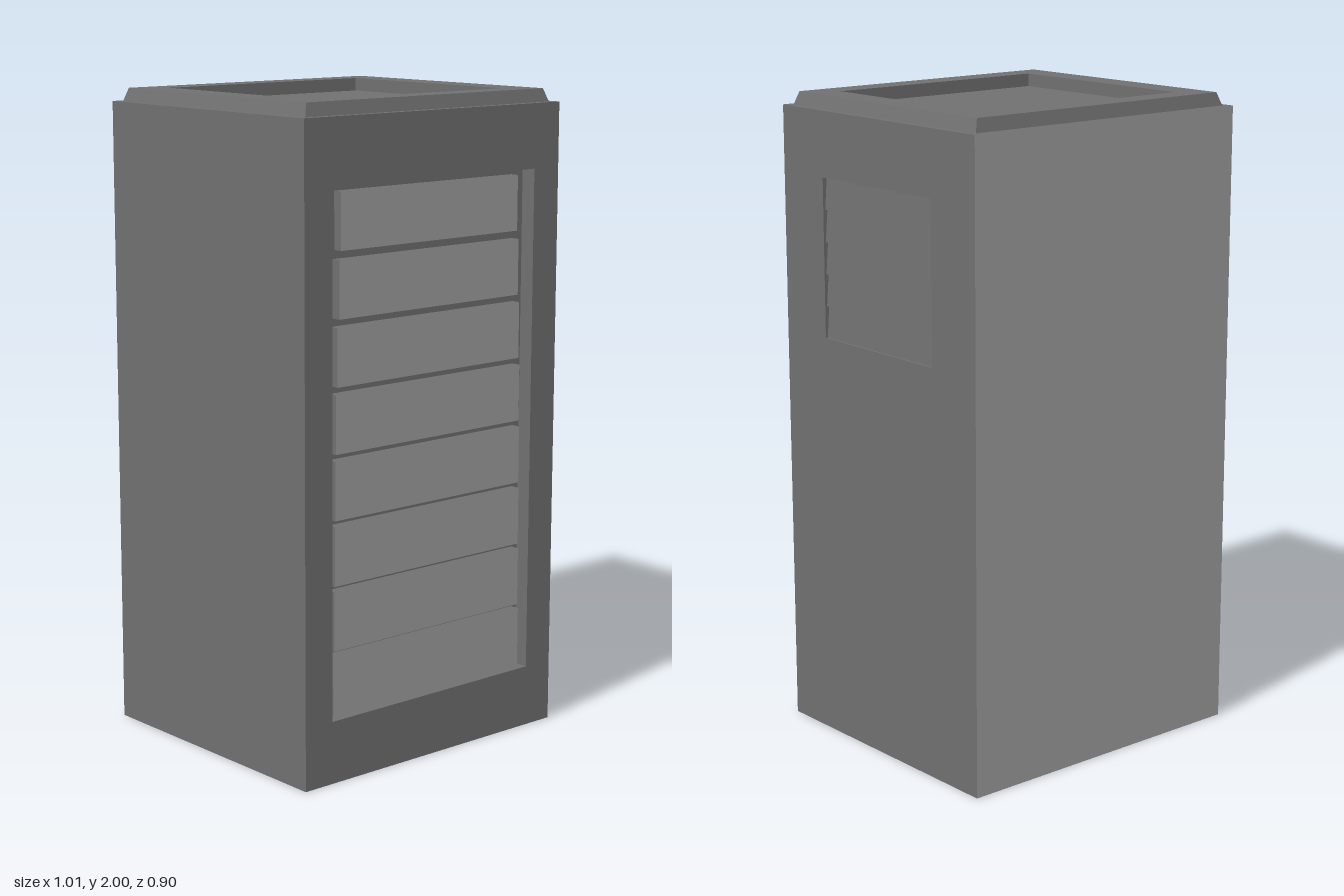
import * as THREE from 'three';

const W = 0.506, D = 0.4525, H = 1.96;            // half width, half depth, body height
const RECESS = 0.05, SIDE = 0.02, BACK = 0.02;    // thickness of front frame, side wall, back panel

// Rectangle path from corner to corner
function rect(Type, x0, y0, x1, y1) {
  const p = new Type();
  p.moveTo(x0, y0);
  p.lineTo(x1, y0);
  p.lineTo(x1, y1);
  p.lineTo(x0, y1);
  p.closePath();
  return p;
}

// Flat plate with one rectangular opening
function frame(outer, hole, depth) {
  const shape = rect(THREE.Shape, ...outer);
  shape.holes.push(rect(THREE.Path, ...hole));
  return new THREE.ExtrudeGeometry(shape, { depth, bevelEnabled: false });
}

export function createModel() {
  const root = new THREE.Group();
  root.name = 'cabinet';
  const dark = new THREE.MeshStandardMaterial({ color: 0x707070, flatShading: true });
  const light = new THREE.MeshStandardMaterial({ color: 0xa0a0a0, flatShading: true });
  // Dark boxes with a light front or back face
  const lightFront = [dark, dark, dark, dark, light, dark];
  const lightBack = [dark, dark, dark, dark, dark, light];
  const add = (name, geo, mat = dark, parent = root) => {
    const m = new THREE.Mesh(geo, mat);
    m.name = name;
    parent.add(m);
    return m;
  };

  // Solid core between the front frame, side wall and back panel
  add('body', new THREE.BoxGeometry(2 * W - SIDE, H, 2 * D - RECESS - BACK))
    .position.set(-SIDE / 2, H / 2, (BACK - RECESS) / 2);

  // Lighter back panel
  add('backPanel', new THREE.BoxGeometry(2 * W, H, BACK), lightBack)
    .position.set(0, H / 2, BACK / 2 - D);

  // Front frame with the tall opening
  add('frontFrame', frame([-W, 0, W, H], [-0.403, 0.192, 0.403, 1.763], RECESS))
    .position.z = D - RECESS;

  // Left wall with the vent opening
  const side = add('sideWall', frame([RECESS - D, 0, D - BACK, H], [-0.257, 1.27, 0.257, 1.76], SIDE));
  side.rotation.y = Math.PI / 2;
  side.position.x = W - SIDE;

  // Eight front panels, narrowing slightly toward the top
  const panels = new THREE.Group();
  panels.name = 'frontPanels';
  root.add(panels);
  const halfWidths = [0.383, 0.379, 0.377, 0.375, 0.372, 0.367, 0.36, 0.353];
  halfWidths.forEach((w, i) => {
    const bottom = 0.2 + i * 0.1967, h = 0.183 - i * 0.002;
    add('frontPanel', new THREE.BoxGeometry(2 * w, h, 0.03), lightFront, panels)
      .position.set(0, bottom + h / 2, D - 0.035);
  });

  // Five sloping vent louvres, set back further at the top
  const louvres = new THREE.Group();
  louvres.name = 'ventLouvres';
  root.add(louvres);
  const rowH = 0.098;
  const wedge = new THREE.Shape([
    new THREE.Vector2(0, 0), new THREE.Vector2(0.013, 0),
    new THREE.Vector2(0.005, rowH), new THREE.Vector2(0, rowH),
  ]);
  const louvreGeo = new THREE.ExtrudeGeometry(wedge, { depth: 0.514, bevelEnabled: false });
  for (let i = 0; i < 5; i++) {
    add('ventLouvre', louvreGeo, dark, louvres).position.set(W - SIDE, 1.27 + i * rowH, -0.257);
  }

  // Raised top rim with sloping outer sides and a sunken middle
  const rim = frame([-0.483, -0.43, 0.483, 0.43], [-0.375, -0.335, 0.375, 0.335], 2 - H);
  rim.rotateX(-Math.PI / 2);
  const p = rim.attributes.position;
  for (let i = 0; i < p.count; i++) {
    if (p.getY(i) > 0.01 && Math.abs(p.getX(i)) > 0.4) {
      p.setX(i, Math.sign(p.getX(i)) * 0.469);
      p.setZ(i, Math.sign(p.getZ(i)) * 0.418);
    }
  }
  rim.computeVertexNormals();
  add('topRim', rim).position.y = H;

  return root;
}
